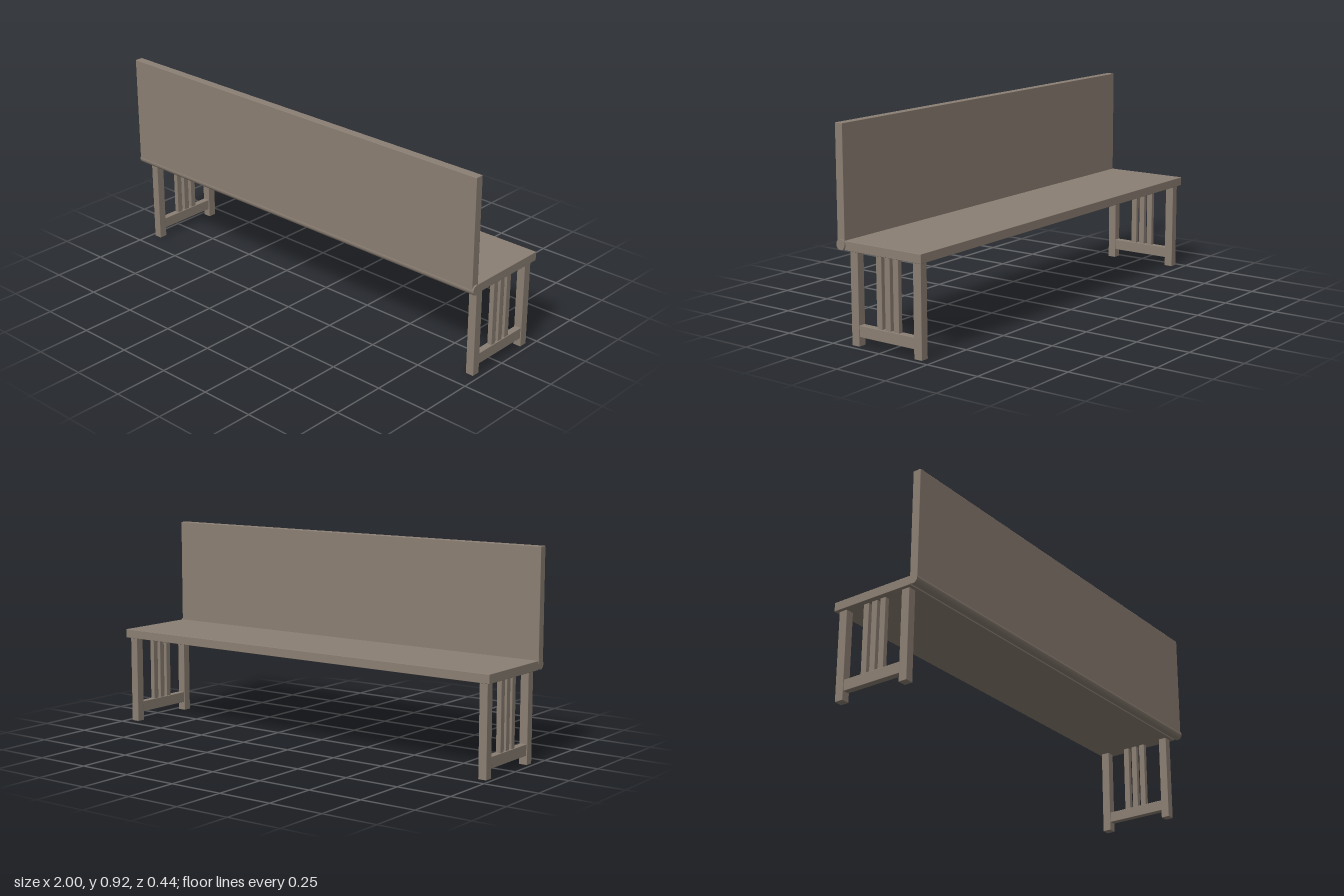
import * as THREE from 'three';
import { RoundedBoxGeometry } from 'three/addons/geometries/RoundedBoxGeometry.js';

export function createModel() {
  const bench = new THREE.Group();
  bench.name = 'bench';
  const wood = new THREE.MeshStandardMaterial({ name: 'greyBrownWood', color: 0x8b7f73 });

  // Softly eased board spanning the given limits on each axis
  const board = (name, [x0, x1], [y0, y1], [z0, z1], parent = bench) => {
    const geometry = new RoundedBoxGeometry(x1 - x0, y1 - y0, z1 - z0, 2, 0.002);
    const mesh = new THREE.Mesh(geometry, wood);
    mesh.name = name;
    mesh.position.set((x0 + x1) / 2, (y0 + y1) / 2, (z0 + z1) / 2);
    parent.add(mesh);
    return mesh;
  };

  // Seat and upright backrest
  board('seat', [-0.998, 0.992], [0.4, 0.44], [-0.217, 0.182]);
  board('backrest', [-0.998, 0.992], [0.425, 0.92], [0.181, 0.219]);

  // Round rod where the seat meets the backrest
  const rod = new THREE.Mesh(new THREE.CylinderGeometry(0.0225, 0.0225, 1.998, 32), wood);
  rod.name = 'hingeRod';
  rod.rotation.z = Math.PI / 2;
  rod.position.set(0, 0.4225, 0.1975);
  bench.add(rod);

  // Slatted support at each end: two legs, a low rail and three spindles
  for (const [side, x] of [['right', -0.963], ['left', 0.957]]) {
    const frame = new THREE.Group();
    frame.name = side + 'EndFrame';
    frame.position.x = x;
    bench.add(frame);

    board('backrestLeg', [-0.019, 0.019], [0, 0.402], [0.127, 0.166], frame);
    board('seatEdgeLeg', [-0.019, 0.019], [0, 0.402], [-0.203, -0.163], frame);
    board('lowRail', [-0.015, 0.015], [0.04, 0.09], [-0.165, 0.129], frame);
    for (const z of [0.0225, -0.0215, -0.0655]) {
      board('spindle', [-0.011, 0.011], [0.088, 0.402], [z - 0.014, z + 0.014], frame);
    }
  }
  return bench;
}
